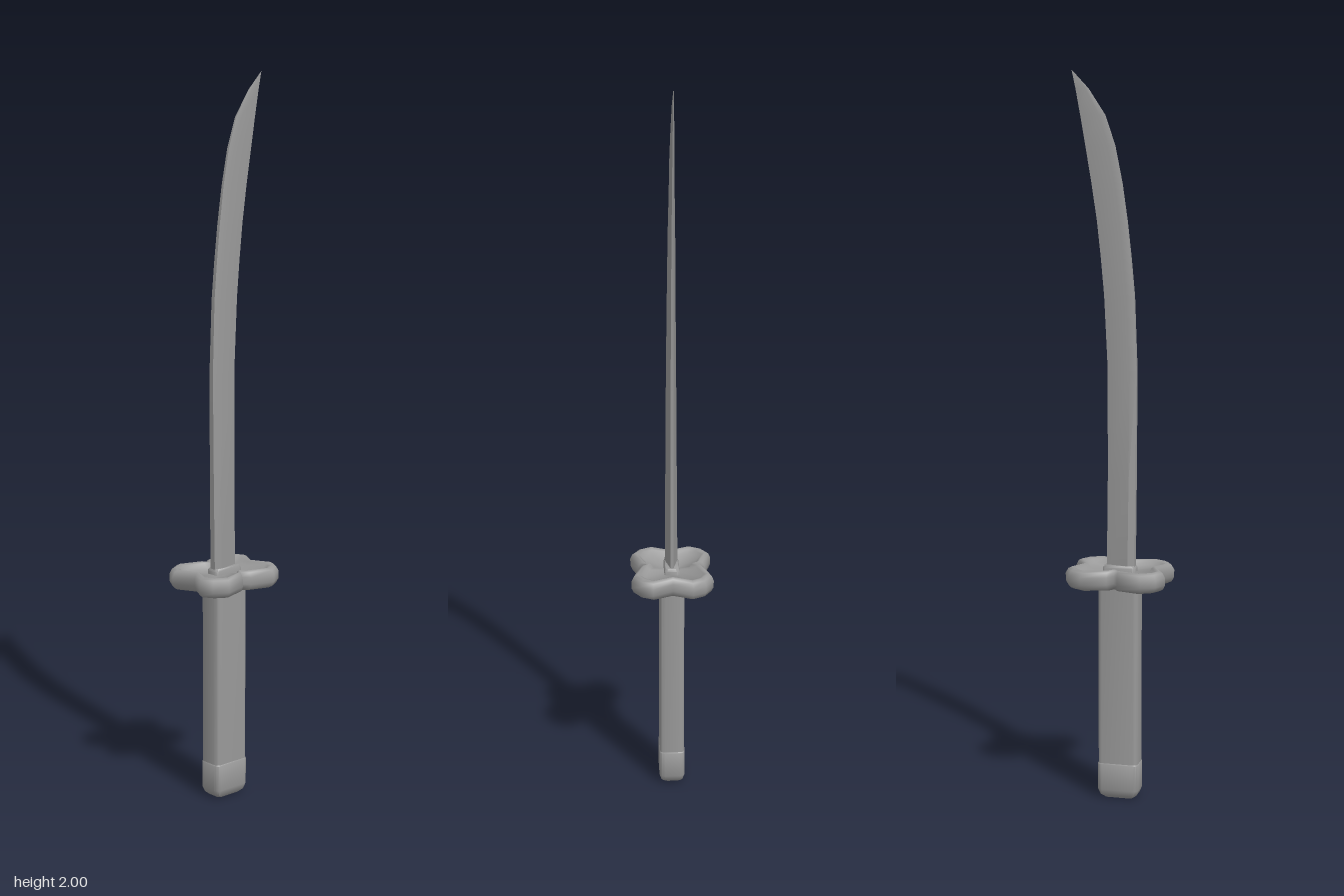
import * as THREE from 'three';
import { toCreasedNormals } from 'three/addons/utils/BufferGeometryUtils.js';

const material = new THREE.MeshStandardMaterial({ color: 0x999999 });

// Skin a list of closed rings (bottom to top), each an array of [x, y, z]
function loft(name, rings, crease) {
  const n = rings[0].length;
  const index = [];
  for (let i = 0; i < rings.length - 1; i++) {
    for (let j = 0; j < n; j++) {
      const k = (j + 1) % n;
      const a = i * n + j, b = i * n + k, c = a + n, d = b + n;
      index.push(a, c, b, b, c, d);
    }
  }
  const geometry = new THREE.BufferGeometry();
  geometry.setAttribute('position', new THREE.Float32BufferAttribute(rings.flat(2), 3));
  geometry.setIndex(index);
  const mesh = new THREE.Mesh(toCreasedNormals(geometry, crease), material);
  mesh.name = name;
  return mesh;
}

// Rectangle with rounded corners at height y
function roundedRing(hx, hz, r, y) {
  const ring = [];
  const signs = [[1, 1], [-1, 1], [-1, -1], [1, -1]];
  signs.forEach(([sx, sz], q) => {
    for (let s = 0; s <= 3; s++) {
      const a = (q + s / 3) * Math.PI / 2;
      ring.push([sx * (hx - r) + r * Math.cos(a), y, sz * (hz - r) + r * Math.sin(a)]);
    }
  });
  return ring;
}

// Mirror a quarter outline (from +x axis to +z axis) into a full loop
function mirrorQuarter(q) {
  const half = [...q, ...q.slice(0, -1).reverse().map(([x, z]) => [-x, z])];
  return [...half, ...half.slice(1, -1).reverse().map(([x, z]) => [x, -z])];
}

// Four-lobed guard: round rim with a shallow hollow on both faces
function makeGuard() {
  const outer = mirrorQuarter([[0.108, 0], [0.14, 0.055], [0.122, 0.09], [0.083, 0.113], [0.015, 0.093], [0, 0.07]]);
  const inner = mirrorQuarter([[0.083, 0], [0.101, 0.05], [0.09, 0.066], [0.068, 0.079], [0.012, 0.06], [0, 0.049]]);
  const middle = 0.632;
  const ringAt = (t, y) => outer.map(([x, z], i) => [
    THREE.MathUtils.lerp(x, inner[i][0], t), y, THREE.MathUtils.lerp(z, inner[i][1], t)]);
  const profile = [[1, 0.014], [0.75, 0.024], [0.45, 0.028], [0.18, 0.023], [0, 0.01]];
  const centre = (y) => outer.map(() => [0, y, 0]);
  return loft('guard', [
    centre(middle - 0.008),
    ...profile.map(([t, h]) => ringAt(t, middle - h)),
    ...profile.slice().reverse().map(([t, h]) => ringAt(t, middle + h)),
    centre(middle + 0.008),
  ], 2.2);
}

// Curved blade: thick spine on -x, narrow cutting edge on +x
function makeBlade() {
  // [height, spine x, edge x, half thickness]
  const stations = [
    [0.62, -0.042, 0.037, 0.018], [0.9, -0.045, 0.034, 0.016], [1.2, -0.047, 0.034, 0.014],
    [1.4, -0.04, 0.044, 0.012], [1.5, -0.031, 0.053, 0.011], [1.6, -0.02, 0.064, 0.01],
    [1.7, -0.006, 0.079, 0.008], [1.8, 0.014, 0.096, 0.007], [1.88, 0.041, 0.11, 0.005],
    [1.95, 0.087, 0.123, 0.003], [2.0, 0.134, 0.134, 0],
  ];
  const rings = stations.map(([y, s, e, h]) => {
    const ridge = THREE.MathUtils.lerp(s, e, 0.22);
    const rim = h * 0.25;
    return [[e, y, -rim], [e, y, rim], [ridge, y, h], [s, y, h * 0.5], [s, y, -h * 0.5], [ridge, y, -h]];
  });
  return loft('blade', rings, 0.6);
}

export function createModel() {
  const group = new THREE.Group();
  group.name = 'sword';

  // Handle
  group.add(loft('handle', [
    roundedRing(0.056, 0.034, 0.012, 0.08),
    roundedRing(0.056, 0.034, 0.012, 0.625),
  ], 0.6));

  // End cap with rounded bottom
  group.add(loft('endCap', [
    roundedRing(0, 0, 0, 0),
    roundedRing(0.04, 0.023, 0.01, 0),
    roundedRing(0.051, 0.031, 0.012, 0.008),
    roundedRing(0.058, 0.036, 0.014, 0.025),
    roundedRing(0.058, 0.036, 0.014, 0.097),
    roundedRing(0.056, 0.034, 0.012, 0.1),
  ], 0.7));

  group.add(makeGuard());

  // Collar at the foot of the blade
  group.add(loft('collar', [
    roundedRing(0.046, 0.021, 0.008, 0.63),
    roundedRing(0.046, 0.021, 0.008, 0.653),
    roundedRing(0.041, 0.018, 0.008, 0.66),
    roundedRing(0, 0, 0, 0.66),
  ], 0.9));

  group.add(makeBlade());
  return group;
}
